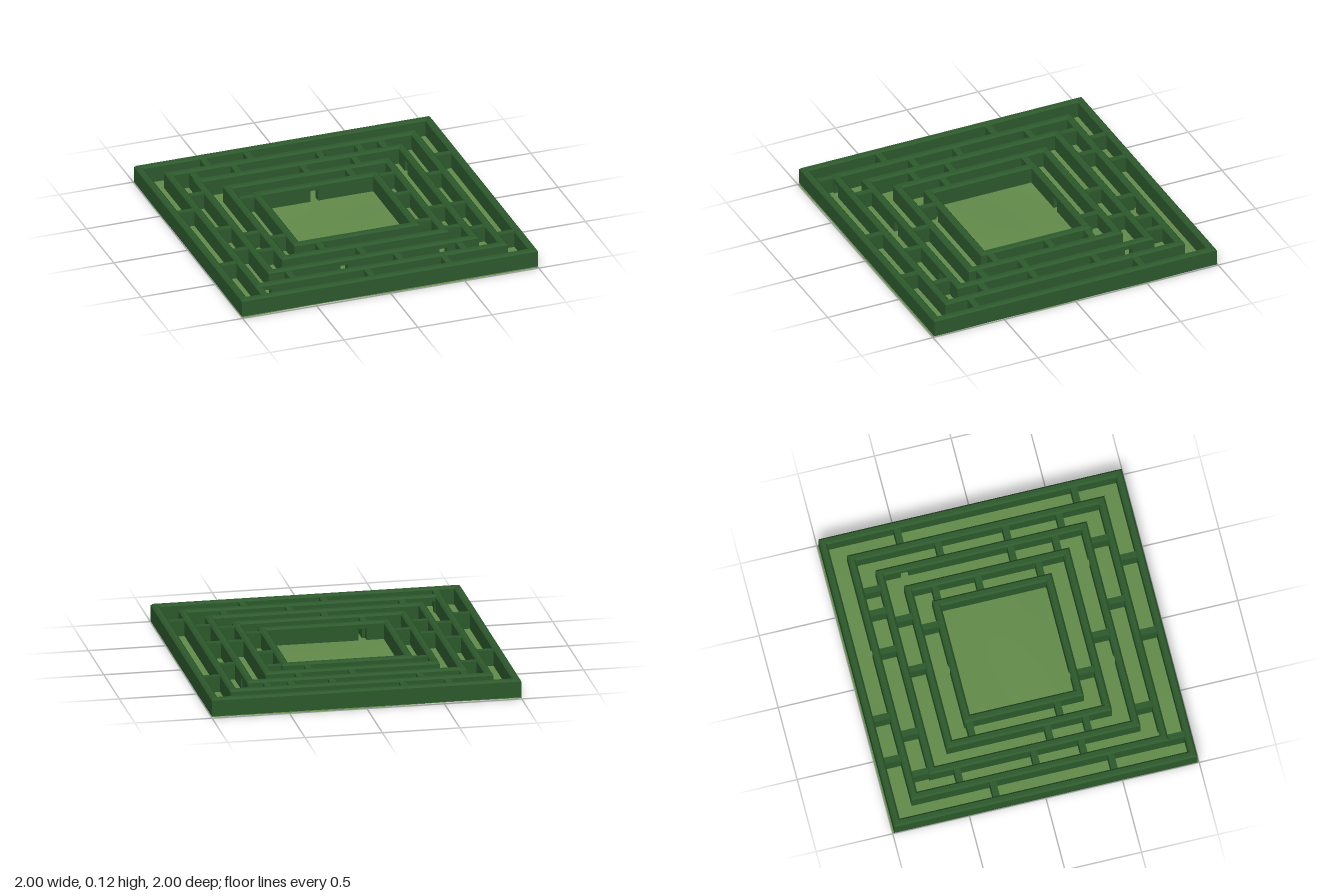
import * as THREE from 'three';
import { mergeGeometries } from 'three/addons/utils/BufferGeometryUtils.js';

const T = 0.048;      // hedge thickness
const BASE = 0.008;   // underside of the hedges
const TOP = 0.125;    // top of the hedges
const DOOR_W = 0.05;
const DOOR_H = 0.085;

// Half sizes of the nested square hedges, outermost first
const RINGS = [[1, 0.99], [0.85, 0.84], [0.71, 0.69], [0.565, 0.54], [0.425, 0.39]];

// Low doorways through the hedges: ring -> side -> position along the side
const DOORS = [
  {},
  { back: [0.2], front: [-0.77] },
  { front: [-0.2, 0.47], right: [-0.51] },
  {},
  { back: [-0.02], front: [-0.24] },
];

// Cross hedges in the corridor between ring i and ring i + 1
const CROSS = [
  { back: [-0.55, -0.26], front: [-0.83, -0.1, 0.42], left: [-0.31, 0.46], right: [-0.49, 0.665] },
  { back: [-0.68, -0.4, 0.17, 0.435, 0.59], front: [-0.58, 0.15, 0.575],
    left: [-0.51, -0.01, 0.3], right: [-0.26, 0.18, 0.53] },
  { back: [0.01, 0.355], front: [-0.045], left: [0.115, 0.365], right: [0.18, 0.47] },
  { back: [0.265], front: [-0.265], left: [-0.36, 0.215], right: [-0.35, -0.07, 0.325] },
];

// Turn about y that points local +z outwards, and the sign of local x on that side
const SIDES = {
  front: { turn: 0, sign: 1 },
  right: { turn: Math.PI / 2, sign: -1 },
  back: { turn: Math.PI, sign: -1 },
  left: { turn: -Math.PI / 2, sign: 1 },
};

// Piece of hedge from x0 to x1 with a chamfered top
function hedgePiece(x0, x1, bottom) {
  const c = 0.012, h = T / 2;
  const s = new THREE.Shape([
    [-h, bottom], [h, bottom], [h, TOP - c], [h - c, TOP], [c - h, TOP], [-h, TOP - c],
  ].map(([x, y]) => new THREE.Vector2(x, y)));
  const g = new THREE.ExtrudeGeometry(s, { depth: x1 - x0, bevelEnabled: false });
  return g.rotateY(Math.PI / 2).translate(x0, 0, 0);
}

// Straight hedge with mitred ends and optional doorways
function hedgeWall(half, doors) {
  const parts = [];
  let x = -half;
  for (const d of [...doors].sort((a, b) => a - b)) {
    parts.push(hedgePiece(x, d - DOOR_W / 2, BASE));
    parts.push(hedgePiece(d - DOOR_W / 2, d + DOOR_W / 2, DOOR_H));
    x = d + DOOR_W / 2;
  }
  parts.push(hedgePiece(x, half, BASE));
  const g = mergeGeometries(parts);
  const p = g.attributes.position;
  for (let i = 0; i < p.count; i++) {
    const px = p.getX(i);
    if (Math.abs(px) > half - 1e-4) p.setX(i, px + Math.sign(px) * (p.getZ(i) - T / 2));
  }
  g.computeVertexNormals();
  return g;
}

export function createModel() {
  const model = new THREE.Group();
  const hedgeMat = new THREE.MeshStandardMaterial({ color: 0x2d5a2d });
  const lawnMat = new THREE.MeshStandardMaterial({ color: 0x638c4b, side: THREE.DoubleSide });

  // Gently uneven lawn
  const lawnGeo = new THREE.PlaneGeometry(1.998, 1.998, 40, 40).rotateX(-Math.PI / 2);
  const p = lawnGeo.attributes.position;
  for (let i = 0; i < p.count; i++) {
    const x = p.getX(i), z = p.getZ(i);
    p.setY(i, 0.005 + 0.0025 * Math.sin(5 * x + 1) * Math.cos(4 * z) + 0.0025 * Math.sin(9 * z + 3 * x));
  }
  lawnGeo.computeVertexNormals();
  const lawn = new THREE.Mesh(lawnGeo, lawnMat);
  lawn.name = 'lawn';
  model.add(lawn);

  // Nested hedge rings
  RINGS.forEach(([hx, hz], i) => {
    const ring = new THREE.Group();
    ring.name = 'hedgeRing' + (i + 1);
    for (const [side, { turn, sign }] of Object.entries(SIDES)) {
      const alongX = side === 'front' || side === 'back';
      const doors = (DOORS[i][side] || []).map((d) => d * sign);
      const geo = hedgeWall(alongX ? hx : hz, doors);
      geo.translate(0, 0, (alongX ? hz : hx) - T / 2).rotateY(turn);
      const wall = new THREE.Mesh(geo, hedgeMat);
      wall.name = side + 'Hedge';
      ring.add(wall);
    }
    model.add(ring);
  });

  // Cross hedges blocking the corridors
  CROSS.forEach((sides, i) => {
    const group = new THREE.Group();
    group.name = 'crossHedges' + (i + 1);
    for (const [side, places] of Object.entries(sides)) {
      const { turn, sign } = SIDES[side];
      const k = side === 'front' || side === 'back' ? 1 : 0;
      const outer = RINGS[i][k] - T + 0.005, inner = RINGS[i + 1][k] - 0.005;
      for (const d of places) {
        const geo = new THREE.BoxGeometry(0.042, 0.112 - BASE, outer - inner);
        geo.translate(d * sign, (0.112 + BASE) / 2, (outer + inner) / 2).rotateY(turn);
        const cross = new THREE.Mesh(geo, hedgeMat);
        cross.name = side + 'CrossHedge';
        group.add(cross);
      }
    }
    model.add(group);
  });

  return model;
}
